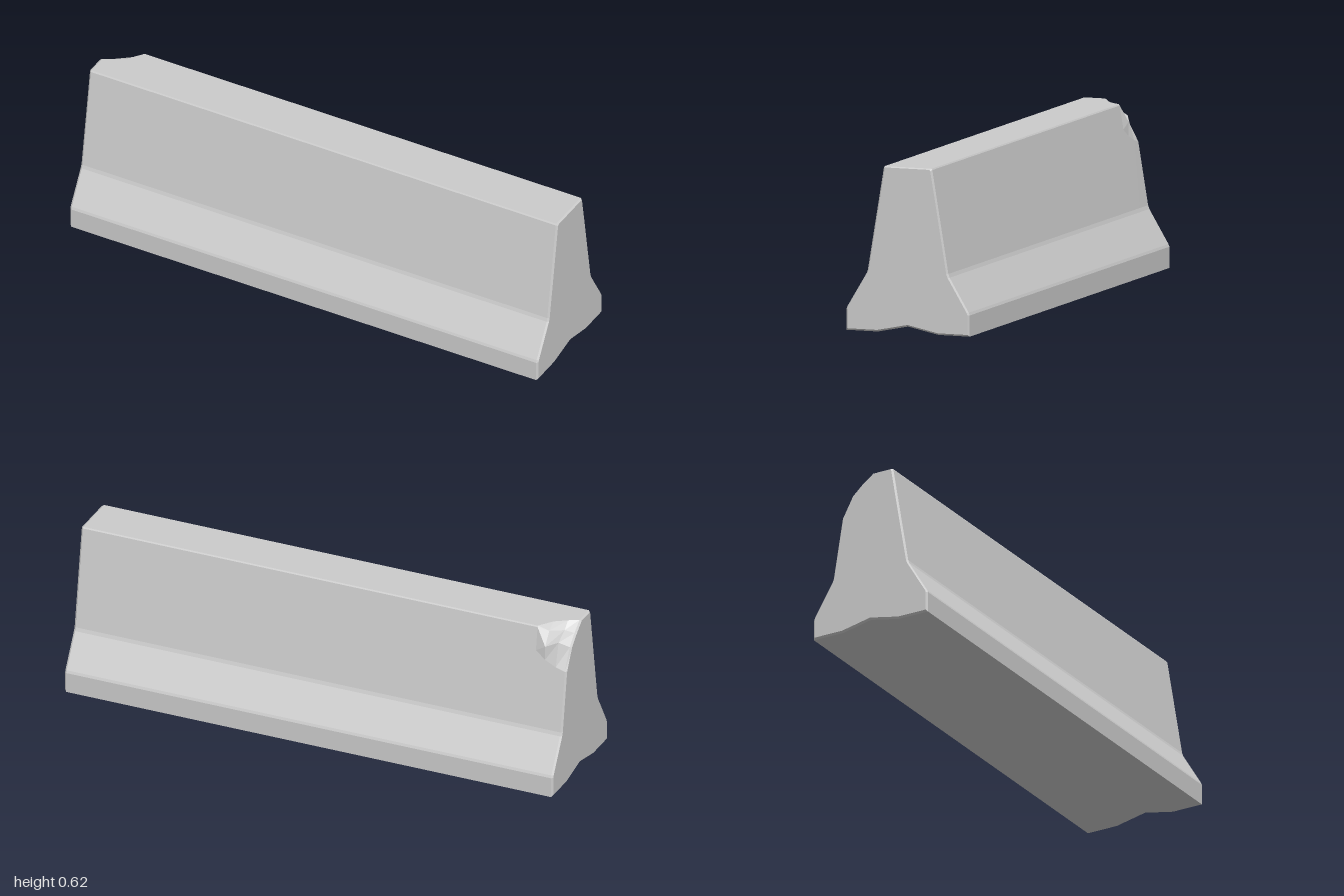
import * as THREE from 'three';

// Half profile as [z, y], from the foot up to the chamfered crown.
const side = [
  [0.122, 0], [0.248, 0], [0.248, 0.08], [0.244, 0.09],
  [0.167, 0.218], [0.162, 0.232], [0.0975, 0.62], [0.094, 0.625],
];

// Points across the top back edge: whole, and broken off near the -x end.
const whole = [[-0.06, 0.625], [-0.094, 0.625], [-0.0975, 0.62], [-0.1125, 0.53]];
const chipped = [
  [[0.015, 0.625], [-0.03, 0.588], [-0.072, 0.55], [-0.1226, 0.47]],
  [[0.01, 0.625], [-0.035, 0.592], [-0.078, 0.553], [-0.1226, 0.47]],
  [[-0.01, 0.625], [-0.04, 0.598], [-0.095, 0.572], [-0.121, 0.48]],
  [[-0.04, 0.625], [-0.08, 0.605], [-0.117, 0.555], [-0.1176, 0.5]],
];

// Closed cross-section at x; the end faces are drawn in to form a bevel.
function section(x, edge) {
  const back = side.slice(0, 6).reverse().map(([z, y]) => [-z, y]);
  const ring = [...side, ...edge, ...back, [0, 0.025]];
  const end = Math.abs(x) === 1;
  return ring.map(([z, y]) => {
    if (end && Math.abs(z) > 0.09 && Math.abs(z) !== 0.122) z -= Math.sign(z) * 0.006;
    if (end && y < 0.04) y += 0.007;
    if (end && y > 0.615) y -= 0.004;
    return new THREE.Vector3(x, y, z);
  });
}

function barrierGeometry() {
  const rings = [
    section(-1, chipped[0]), section(-0.993, chipped[1]),
    section(-0.955, chipped[2]), section(-0.91, chipped[3]),
    section(-0.87, whole), section(0.993, whole), section(1, whole),
  ];
  const points = [];

  // Skin between neighbouring sections
  for (let s = 0; s < rings.length - 1; s++) {
    const p = rings[s], q = rings[s + 1], n = p.length;
    for (let i = 0; i < n; i++) {
      const j = (i + 1) % n;
      points.push(p[i], q[i], q[j], p[i], q[j], p[j]);
    }
  }

  // Flat end faces, each turned outward
  for (const ring of [rings[0], rings[rings.length - 1]]) {
    const outline = ring.map((v) => new THREE.Vector2(v.z, v.y));
    for (const [a, b, c] of THREE.ShapeUtils.triangulateShape(outline, [])) {
      const area = THREE.ShapeUtils.area([outline[a], outline[b], outline[c]]);
      const facesOut = area * ring[0].x < 0;
      points.push(ring[a], ring[facesOut ? b : c], ring[facesOut ? c : b]);
    }
  }

  const geometry = new THREE.BufferGeometry().setFromPoints(points);
  geometry.computeVertexNormals();
  return geometry;
}

export function createModel() {
  const group = new THREE.Group();
  group.name = 'roadBarrier';
  const concrete = new THREE.MeshStandardMaterial({ color: 0xcccccc, flatShading: true });
  const body = new THREE.Mesh(barrierGeometry(), concrete);
  body.name = 'chippedConcreteBody';
  group.add(body);
  return group;
}
